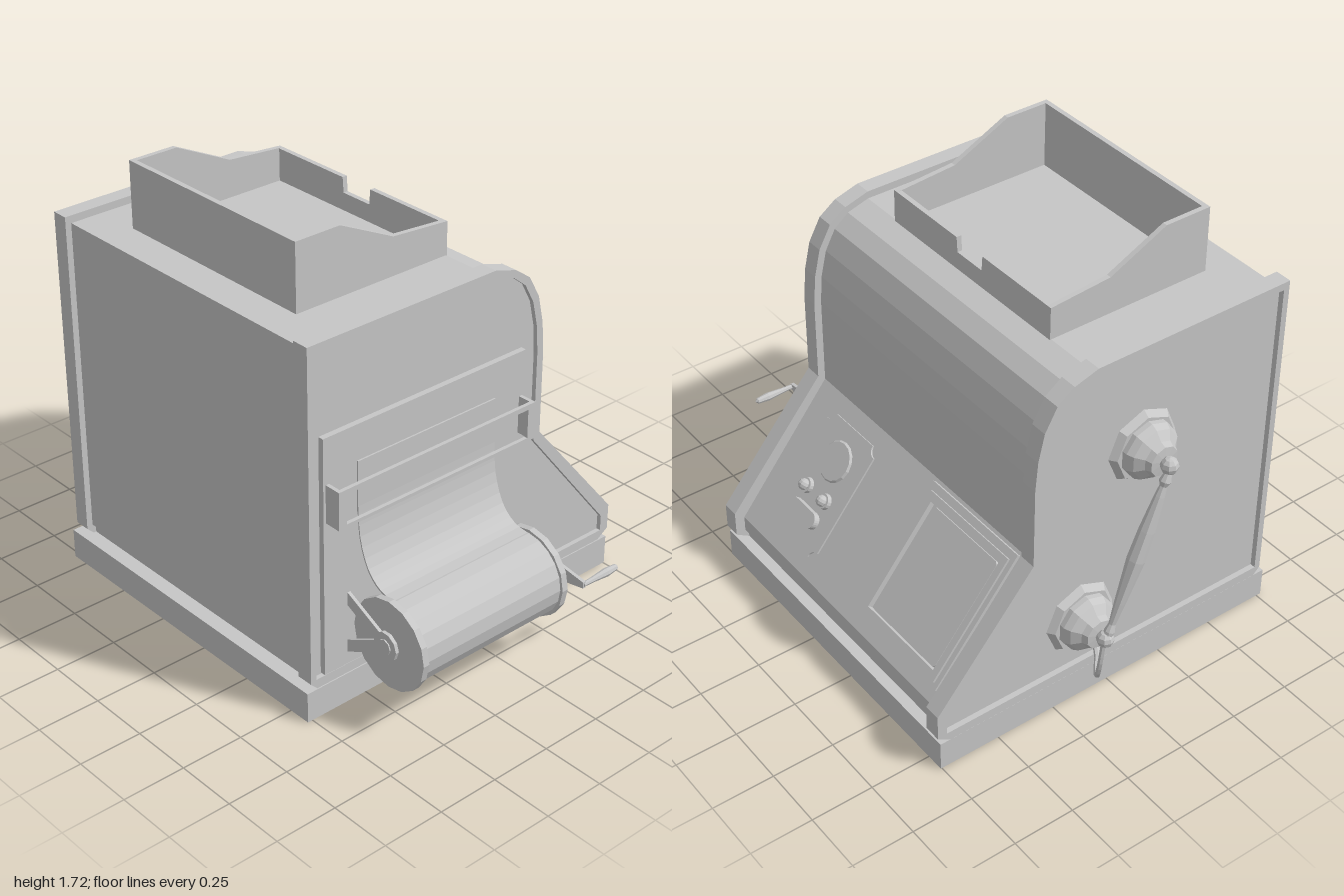
import * as THREE from 'three';

const grey = new THREE.MeshStandardMaterial({ color: 0xc6c6c6 });

// Faceted mesh helper
function part(parent, name, geo, x = 0, y = 0, z = 0) {
  const g = geo.index ? geo.toNonIndexed() : geo;
  g.computeVertexNormals();
  const m = new THREE.Mesh(g, grey);
  m.name = name;
  m.position.set(x, y, z);
  parent.add(m);
  return m;
}
const toShape = (pts) => new THREE.Shape(pts.map((p) => new THREE.Vector2(...p)));
const extrude = (shape, depth) =>
  new THREE.ExtrudeGeometry(shape, { depth, bevelEnabled: false, curveSegments: 6 });
// Profile given as [z, y], running from x = 0 towards -x
const extrudeX = (pts, depth) => extrude(toShape(pts), depth).rotateY(-Math.PI / 2);
const rect = (x0, x1, y0, y1) => [[x0, y0], [x1, y0], [x1, y1], [x0, y1]];
const framed = (outer, inner) => {
  const s = toShape(outer);
  s.holes.push(toShape(inner));
  return s;
};
const tube = (pts, r, n = 12) =>
  new THREE.TubeGeometry(new THREE.CatmullRomCurve3(pts.map((p) => new THREE.Vector3(...p))), n, r, 6);
const axle = (r, len, sides = 16) => new THREE.CylinderGeometry(r, r, len, sides).rotateZ(Math.PI / 2);

const OUTER = [[-0.75, 1.48], [-0.75, 0.15], [-0.72, 0.12], [0.71, 0.12], [0.765, 0.155], [0.765, 0.26],
  [0.355, 0.745], [0.355, 1.08], [0.345, 1.2], [0.32, 1.31], [0.27, 1.4], [0.2, 1.45], [0.1, 1.48]];
const INNER = [[-0.725, 1.45], [-0.725, 0.16], [0.725, 0.16], [0.725, 0.225],
  [0.325, 0.72], [0.325, 1.08], [0.317, 1.19], [0.293, 1.295], [0.25, 1.375], [0.19, 1.423], [0.1, 1.45]];

function buildHopper(root) {
  const g = new THREE.Group();
  g.name = 'hopper';
  const side = [[-0.585, 1.44], [0.105, 1.44], [0.105, 1.58], [-0.15, 1.6], [-0.39, 1.715], [-0.585, 1.715]];
  part(g, 'hopperFrontWall', extrude(toShape(side), 0.02), 0, 0, 0.32);
  part(g, 'hopperBackWall', extrude(toShape(side), 0.02), 0, 0, -0.57);
  part(g, 'hopperTallWall', extrudeX(rect(-0.57, 0.34, 1.44, 1.715), 0.02), -0.565);
  // Low wall with a notch in the middle
  part(g, 'hopperNotchedWall', extrudeX([[-0.57, 1.44], [0.34, 1.44], [0.34, 1.58], [-0.04, 1.58],
    [-0.045, 1.52], [-0.185, 1.52], [-0.19, 1.58], [-0.57, 1.58]], 0.02), 0.105);
  root.add(g);
}

function buildPaperFeed(root) {
  const g = new THREE.Group();
  g.name = 'paperFeed';
  part(g, 'door', new THREE.BoxGeometry(0.95, 0.955, 0.035), -0.215, 0.643, 0.575);
  part(g, 'slotPlate', new THREE.BoxGeometry(0.65, 0.2, 0.008), -0.215, 0.88, 0.595);
  // Open guard in front of the paper slot
  part(g, 'guardFront', extrude(framed(rect(-0.68, 0.25, 0.79, 0.94), rect(-0.645, 0.215, 0.803, 0.92)), 0.015), 0, 0, 0.645);
  for (const x of [-0.672, 0.242]) part(g, 'guardSide', new THREE.BoxGeometry(0.015, 0.15, 0.07), x, 0.865, 0.623);
  // Paper sheet falling onto the roll
  const path = new THREE.CatmullRomCurve3([[0.597, 0.9], [0.6, 0.78], [0.615, 0.66], [0.66, 0.56], [0.72, 0.515], [0.79, 0.505]]
    .map(([z, y]) => new THREE.Vector3(z, y, 0))).getPoints(14).map((p) => [p.x, p.y]);
  const under = path.map(([z, y]) => [z - 0.004, y - 0.006]).reverse();
  part(g, 'paperSheet', extrudeX([...path, ...under], 0.65), 0.11);
  const cy = 0.342, cz = 0.787;
  part(g, 'paperRoll', axle(0.165, 0.66, 20), -0.215, cy, cz);
  for (const x of [-0.555, 0.123]) part(g, 'rollFlange', axle(0.177, 0.026), x, cy, cz);
  part(g, 'spindle', axle(0.03, 0.79, 8), -0.195, cy, cz);
  // Brackets: two arms meeting at a hub
  for (const x of [-0.571, 0.149]) {
    part(g, 'bracketHub', axle(0.056, 0.014, 10), x - 0.007, cy, cz);
    part(g, 'bracketUpperArm', extrudeX([[0.58, 0.42], [0.78, 0.32], [0.8, 0.365], [0.58, 0.472]], 0.013), x);
    part(g, 'bracketLowerArm', extrudeX([[0.58, 0.21], [0.8, 0.32], [0.78, 0.365], [0.58, 0.26]], 0.013), x);
  }
  // Crank
  part(g, 'crankHub', axle(0.045, 0.03, 8), 0.19, cy, cz);
  part(g, 'crankArm', extrudeX([[0.74, 0.3], [0.78, 0.295], [0.985, 0.33], [0.985, 0.355], [0.78, 0.388], [0.74, 0.38]], 0.014), 0.207);
  const grip = [[0, 0], [0.009, 0], [0.011, 0.05], [0.017, 0.12], [0.012, 0.17], [0, 0.182]].map((p) => new THREE.Vector2(...p));
  part(g, 'crankGrip', new THREE.LatheGeometry(grip, 8).rotateZ(-Math.PI / 2), 0.198, 0.343, 0.981);
  root.add(g);
}

// Sloping panel: local x runs to the back, local y up the slope, local z outwards
function buildControls(root) {
  const g = new THREE.Group();
  g.name = 'controlSlope';
  const up = new THREE.Vector3(-0.4, 0.495, 0).normalize();
  const right = new THREE.Vector3(0, 0, -1);
  const m = new THREE.Matrix4().makeBasis(right, up, right.clone().cross(up));
  g.quaternion.setFromRotationMatrix(m);
  g.position.set(0.525, 0.4725, 0);

  part(g, 'screenPlate', extrude(framed(rect(0.22, 0.72, -0.267, 0.305), rect(0.26, 0.68, -0.22, 0.25)), 0.014));
  part(g, 'screenRim', extrude(framed(rect(0.24, 0.7, -0.245, 0.275), rect(0.268, 0.672, -0.212, 0.242)), 0.024));
  const glass = toShape([[0.28, -0.2], [0.29, -0.21], [0.65, -0.21], [0.66, -0.2], [0.66, 0.225], [0.65, 0.235], [0.29, 0.235], [0.28, 0.225]]);
  part(g, 'screenGlass', extrude(glass, 0.01));

  // Plate with scooped corners
  const w = 0.155, h = 0.247, r = 0.035, plate = new THREE.Shape();
  plate.moveTo(-w + r, -h);
  plate.lineTo(w - r, -h);
  plate.absarc(w, -h, r, Math.PI, Math.PI / 2, true);
  plate.lineTo(w, h - r);
  plate.absarc(w, h, r, Math.PI * 1.5, Math.PI, true);
  plate.lineTo(-w + r, h);
  plate.absarc(-w, h, r, 0, -Math.PI / 2, true);
  plate.lineTo(-w, -h + r);
  plate.absarc(-w, -h, r, Math.PI / 2, 0, true);
  part(g, 'buttonPlate', extrude(plate, 0.008), -0.245);
  const disc = (rad, len) => new THREE.CylinderGeometry(rad * 0.92, rad, len, 16).rotateX(Math.PI / 2);
  part(g, 'dial', disc(0.083, 0.008), -0.245, 0.105, 0.012);
  for (const x of [-0.308, -0.187]) {
    part(g, 'knobBase', disc(0.032, 0.02), x, -0.04, 0.015);
    part(g, 'knobCap', new THREE.SphereGeometry(0.023, 10, 6), x, -0.04, 0.03);
  }
  const pill = new THREE.Shape();
  pill.absarc(0.055, 0, 0.033, -Math.PI / 2, Math.PI / 2);
  pill.absarc(-0.055, 0, 0.033, Math.PI / 2, Math.PI * 1.5);
  part(g, 'pillButton', extrude(pill, 0.03), -0.247, -0.13, 0.004);
  root.add(g);
}

function buildBackHandle(root) {
  const g = new THREE.Group();
  g.name = 'backHandle';
  const bell = [[0, 0], [0.115, 0], [0.115, 0.035], [0.102, 0.06], [0.07, 0.085], [0.06, 0.108], [0.02, 0.112], [0, 0.112]]
    .map((p) => new THREE.Vector2(...p));
  const ends = [[-0.12, 1.05], [0.13, 0.38]];
  for (const [x, y] of ends) {
    part(g, 'bellPlate', new THREE.CylinderGeometry(0.13, 0.15, 0.026, 8).rotateX(-Math.PI / 2), x, y, -0.822);
    part(g, 'bell', new THREE.LatheGeometry(bell, 10).rotateX(-Math.PI / 2), x, y, -0.82);
    part(g, 'bellPost', new THREE.CylinderGeometry(0.018, 0.022, 0.04, 8).rotateX(-Math.PI / 2), x, y, -0.935);
    part(g, 'bellBall', new THREE.SphereGeometry(0.034, 8, 6), x, y, -0.955);
  }
  // Swelling grip between the balls
  const prof = [[0, -0.36], [0.016, -0.36], [0.02, -0.32], [0.013, -0.29], [0.021, -0.2], [0.034, -0.02],
    [0.03, 0.1], [0.019, 0.24], [0.014, 0.28], [0.022, 0.3], [0.014, 0.33], [0, 0.36]].map((p) => new THREE.Vector2(...p));
  const grip = part(g, 'grip', new THREE.LatheGeometry(prof, 8), 0.005, 0.715, -0.96);
  grip.quaternion.setFromUnitVectors(new THREE.Vector3(0, 1, 0), new THREE.Vector3(-0.25, 0.67, 0).normalize());
  part(g, 'cord', tube([[0.135, 0.36, -0.955], [0.145, 0.25, -0.95], [0.13, 0.17, -0.92], [0.09, 0.15, -0.87], [0.06, 0.17, -0.835], [0.05, 0.2, -0.8]], 0.011));
  root.add(g);
}

export function createModel() {
  const root = new THREE.Group();
  root.name = 'machine';
  part(root, 'base', new THREE.BoxGeometry(1.525, 0.122, 1.415), -0.008, 0.061, -0.115);
  // Body with raised end frames
  part(root, 'body', extrude(toShape(INNER), 1.37), 0, 0, -0.8);
  part(root, 'bodyFoot', new THREE.BoxGeometry(1.42, 0.05, 1.3), 0, 0.14, -0.115);
  for (const z of [0.52, -0.822]) part(root, 'endFrame', extrude(framed(OUTER, INNER), 0.068), 0, 0, z);
  buildHopper(root);
  buildPaperFeed(root);
  buildControls(root);
  buildBackHandle(root);
  return root;
}
